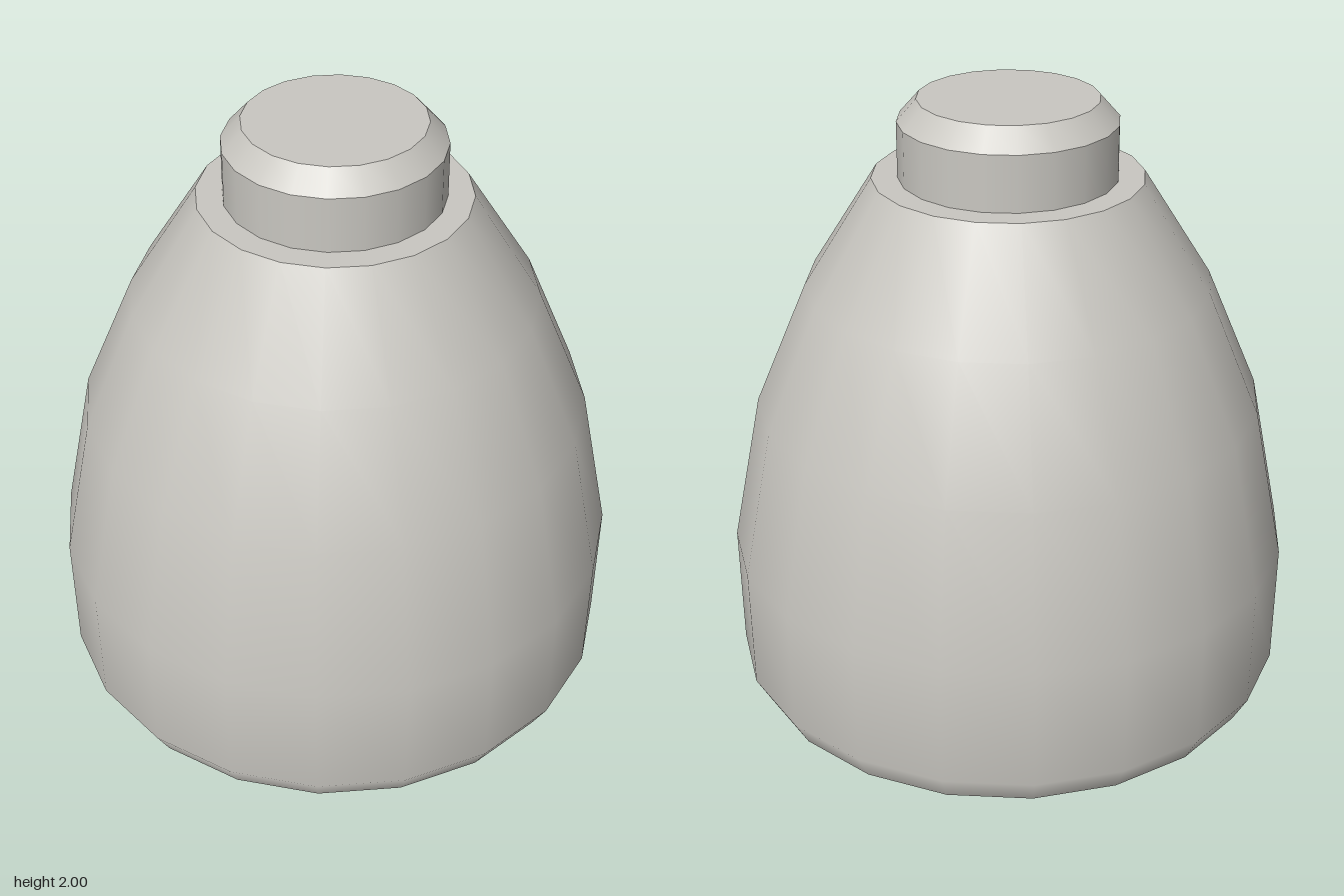
import * as THREE from 'three';

const SIDES = 20;

export function createModel() {
  const model = new THREE.Group();
  model.name = 'bulletShapedCap';

  const shellGrey = new THREE.MeshStandardMaterial({ color: 0xc9c7c1 });
  shellGrey.name = 'warm light grey';
  const baseDark = new THREE.MeshStandardMaterial({ color: 0x383a3d });
  baseDark.name = 'dark grey';

  // Each band is its own lathe: smooth within, sharp where bands meet.
  // Profiles run from the underside up and over to the top.
  const band = (name, profile, material) => {
    const points = profile.map(([r, y]) => new THREE.Vector2(r, y));
    const mesh = new THREE.Mesh(new THREE.LatheGeometry(points, SIDES), material);
    mesh.name = name;
    model.add(mesh);
  };

  band('underside', [[0, 0], [0.865, 0]], baseDark);
  band('body', [
    [0.865, 0], [0.915, 0.09], [0.92, 0.5], [0.82, 1.0], [0.65, 1.4], [0.43, 1.75],
  ], shellGrey);
  band('shoulder', [[0.43, 1.75], [0.347, 1.75]], shellGrey);
  band('neck', [[0.347, 1.75], [0.347, 1.93]], shellGrey);
  band('neckChamfer', [[0.347, 1.93], [0.285, 2]], shellGrey);
  band('topFace', [[0.285, 2], [0, 2]], shellGrey);

  return model;
}
